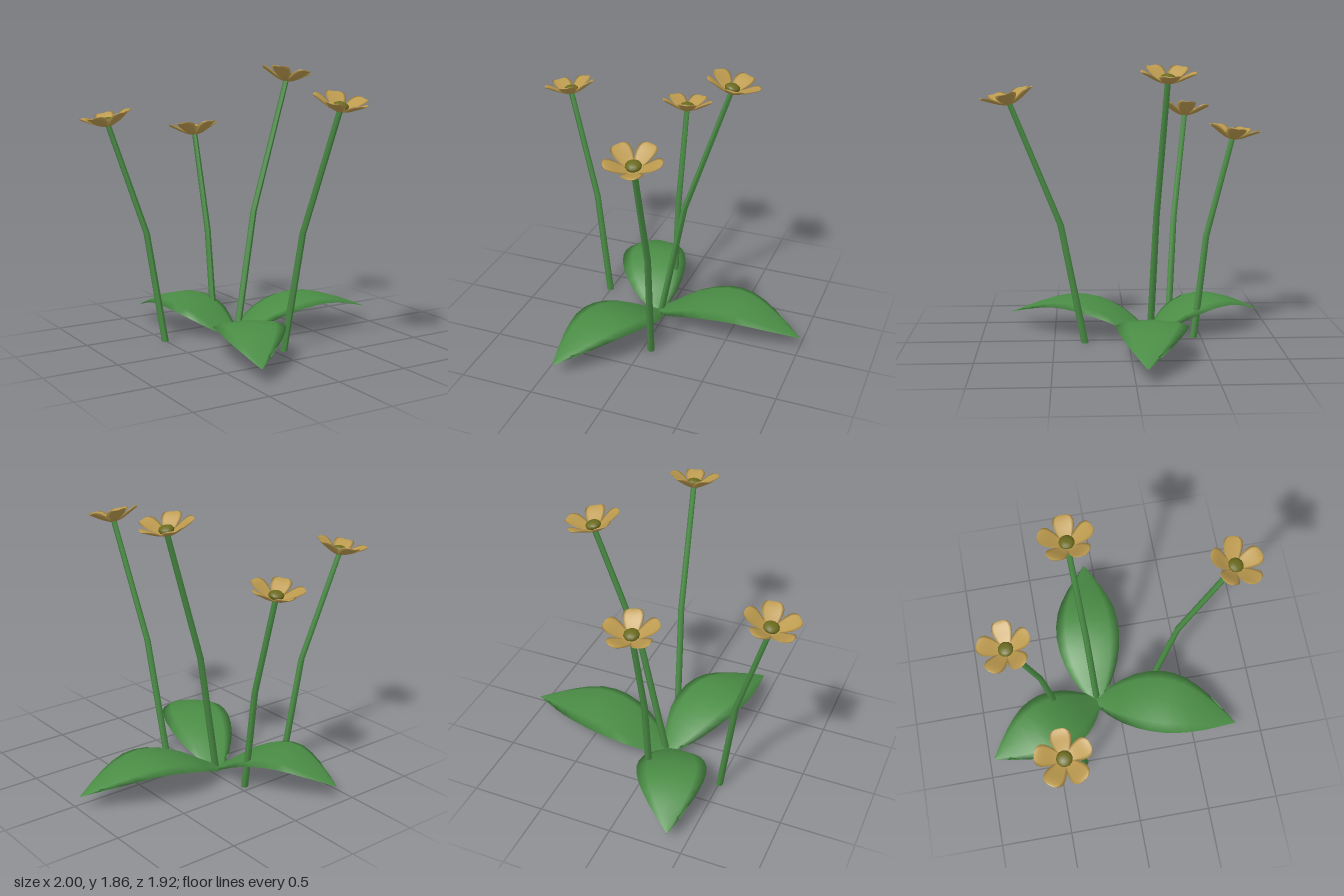
import * as THREE from 'three';
import { mergeVertices } from 'three/addons/utils/BufferGeometryUtils.js';

const mat = (name, color) => {
  const m = new THREE.MeshStandardMaterial({ color });
  m.name = name;
  return m;
};

const add = (parent, name, geometry, material) => {
  const mesh = new THREE.Mesh(geometry, material);
  mesh.name = name;
  parent.add(mesh);
  return mesh;
};

// Solid lens-shaped blade along +x. Each profile point is [distance, height, halfWidth];
// edge is the rise of the sides at full width, thick the half thickness, sway a sideways bow.
function blade(profile, { edge, thick, sway, rows }) {
  const curve = new THREE.CatmullRomCurve3(profile.map((p) => new THREE.Vector3(...p)));
  const maxWidth = Math.max(...profile.map((p) => p[2]));
  let geo = new THREE.CylinderGeometry(1, 1, 1, 8, rows);
  const pos = geo.attributes.position;
  const p = new THREE.Vector3();
  for (let i = 0; i < pos.count; i++) {
    const s = pos.getX(i), side = pos.getZ(i), t = pos.getY(i) + 0.5;
    curve.getPoint(t, p);
    const width = Math.max(p.z, 0.002);
    const lift = (edge * s * s + thick * side) * (width / maxWidth);
    pos.setXYZ(i, p.x, p.y + lift, s * width + sway * Math.sin(Math.PI * t));
  }
  // Weld the seam and rim so shading runs smoothly round the edge
  geo.deleteAttribute('normal');
  geo.deleteAttribute('uv');
  geo = mergeVertices(geo);
  geo.computeVertexNormals();
  return geo;
}

// Six-sided tapered stem through base, bend and top
function stemGeometry(points) {
  const geo = new THREE.CylinderGeometry(0.019, 0.024, 2, 6, 2);
  const pos = geo.attributes.position;
  for (let i = 0; i < pos.count; i++) {
    const [x, y, z] = points[Math.round(pos.getY(i) + 1)];
    pos.setXYZ(i, pos.getX(i) + x, y, pos.getZ(i) + z);
  }
  geo.computeVertexNormals();
  return geo;
}

export function createModel() {
  const model = new THREE.Group();
  model.name = 'floweringPlant';
  const leafGreen = mat('leafGreen', 0x4a8c45);
  const petalGold = mat('petalGold', 0xbc9a4e);
  const centreOlive = mat('centreOlive', 0x6b6a1e);

  // Three arching leaves from a shared root
  const leafGeo = blade([
    [0, 0.03, 0.05], [0.1, 0.08, 0.118], [0.25, 0.163, 0.195], [0.45, 0.228, 0.234],
    [0.64, 0.236, 0.213], [0.84, 0.185, 0.132], [1.06, 0.1, 0.004],
  ], { edge: -0.025, thick: 0.014, sway: -0.022, rows: 12 });
  const root = [-0.06, -0.15];
  for (const [x, z] of [[1, -0.07], [-0.43, 0.81], [-0.39, -0.96]]) {
    const dx = x - root[0], dz = z - root[1];
    const leaf = add(model, 'leaf', leafGeo, leafGreen);
    leaf.position.set(root[0], 0, root[1]);
    leaf.rotation.y = Math.atan2(-dz, dx);
    leaf.scale.x = Math.hypot(dx, dz) / 1.06;
  }

  // Flowers on bent stems: base, bend, top
  const stems = [
    [[-0.505, 0, -0.315], [-0.61, 0.75, -0.36], [-0.83, 1.475, -0.455]],
    [[-0.045, 0, -0.45], [-0.05, 0.7, -0.53], [-0.055, 1.365, -0.7]],
    [[-0.04, 0, -0.15], [0.12, 0.87, -0.18], [0.41, 1.75, -0.225]],
    [[0.06, 0, 0.295], [0.1, 0.81, 0.45], [0.145, 1.61, 0.77]],
  ];
  const petalGeo = blade([
    [0, 0.006, 0.018], [0.05, 0.02, 0.04], [0.095, 0.044, 0.061],
    [0.135, 0.067, 0.066], [0.163, 0.08, 0.052], [0.177, 0.084, 0.02],
  ], { edge: 0.014, thick: 0.009, sway: 0, rows: 7 });
  const centreGeo = new THREE.SphereGeometry(0.05, 12, 8).scale(1, 0.55, 1);
  const up = new THREE.Vector3(0, 1, 0);

  for (const points of stems) {
    add(model, 'stem', stemGeometry(points), leafGreen);
    const top = new THREE.Vector3(...points[2]);
    const facing = top.clone().sub(new THREE.Vector3(...points[1])).normalize();
    facing.lerp(up, 0.37).normalize();

    const flower = new THREE.Group();
    flower.name = 'flower';
    flower.position.copy(top).addScaledVector(facing, -0.012);
    flower.quaternion.setFromUnitVectors(up, facing);
    for (let i = 0; i < 5; i++) {
      add(flower, 'petal', petalGeo, petalGold).rotation.y = (i * Math.PI * 2) / 5;
    }
    add(flower, 'flowerCentre', centreGeo, centreOlive).position.y = 0.042;
    model.add(flower);
  }
  return model;
}
